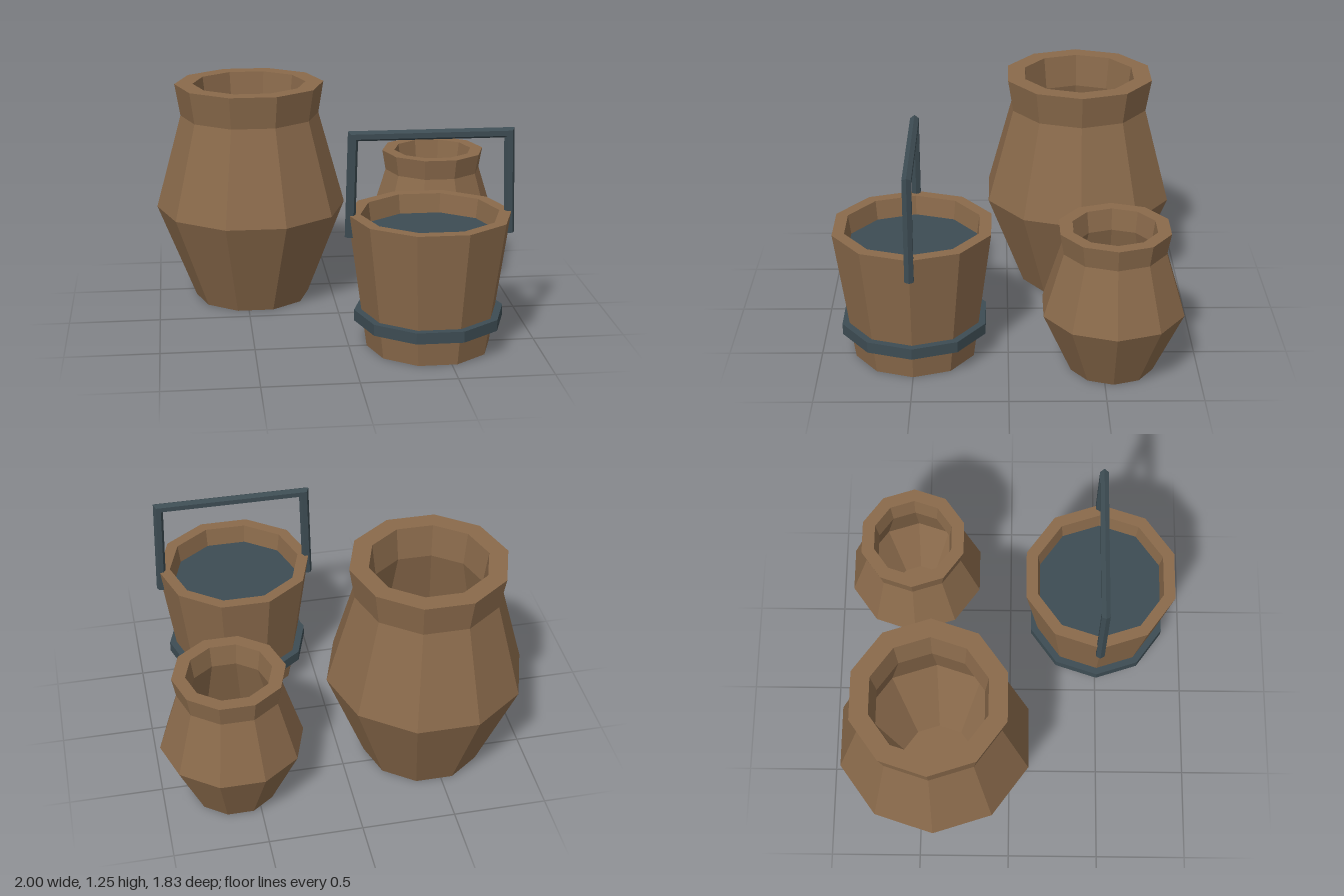
import * as THREE from 'three';

const SIDES = 10;

const wood = new THREE.MeshStandardMaterial({ color: 0x8a6a4b });
wood.name = 'warm brown';
const slate = new THREE.MeshStandardMaterial({ color: 0x3d4c53 });
slate.name = 'dark slate';

// Give every facet its own normal for the low-poly look
function faceted(geometry) {
  const flat = geometry.index ? geometry.toNonIndexed() : geometry;
  flat.computeVertexNormals();
  return flat;
}

// Ten-sided turned solid with a corner on the x axis; profile runs outside first
function turned(name, profile, material) {
  const points = profile.map(([r, y]) => new THREE.Vector2(r, y));
  const mesh = new THREE.Mesh(
    faceted(new THREE.LatheGeometry(points, SIDES, Math.PI / 2)), material);
  mesh.name = name;
  return mesh;
}

// Six-sided rod swept along points in the xy plane with mitred corners and closed ends
function rod(name, path, radius, material) {
  const n = 6, pos = [], index = [];
  const pts = path.map(([x, y]) => new THREE.Vector2(x, y));
  const normalOf = (a, b) => {
    const d = b.clone().sub(a).normalize();
    return new THREE.Vector2(-d.y, d.x);
  };
  pts.forEach((p, i) => {
    const before = normalOf(pts[Math.max(i - 1, 0)], pts[Math.max(i, 1)]);
    const last = pts.length - 1;
    const after = normalOf(pts[Math.min(i, last - 1)], pts[Math.min(i + 1, last)]);
    const miter = before.clone().add(after).normalize();
    miter.divideScalar(miter.dot(before));
    for (let k = 0; k < n; k++) {
      const t = (k / n) * Math.PI * 2;
      const out = radius * Math.cos(t);
      pos.push(p.x + miter.x * out, p.y + miter.y * out, radius * Math.sin(t));
    }
  });
  for (let i = 0; i < pts.length - 1; i++) {
    for (let k = 0; k < n; k++) {
      const a = i * n + k, b = i * n + (k + 1) % n;
      index.push(a, b, a + n, b, b + n, a + n);
    }
  }
  const end = (pts.length - 1) * n;
  for (let k = 1; k < n - 1; k++) {
    index.push(0, k + 1, k, end, end + k, end + k + 1);
  }
  const geometry = new THREE.BufferGeometry();
  geometry.setAttribute('position', new THREE.Float32BufferAttribute(pos, 3));
  geometry.setIndex(index);
  const mesh = new THREE.Mesh(faceted(geometry), material);
  mesh.name = name;
  return mesh;
}

export function createModel() {
  const model = new THREE.Group();
  model.name = 'potsAndBucket';

  // Large hollow pot
  const largePot = turned('largePot', [
    [0, 0], [0.325, 0], [0.537, 0.54], [0.39, 1.07], [0.42, 1.25],
    [0.318, 1.25], [0.295, 1.07], [0.42, 0.54], [0.213, 0.07], [0, 0.07],
  ], wood);
  largePot.position.set(-0.463, 0, -0.405);

  // Small hollow pot
  const smallPot = turned('smallPot', [
    [0, 0], [0.227, 0], [0.383, 0.345], [0.277, 0.685], [0.297, 0.8],
    [0.225, 0.8], [0.208, 0.685], [0.3, 0.345], [0.152, 0.05], [0, 0.05],
  ], wood);
  smallPot.position.set(0.613, 0, -0.545);

  // Bucket with staves, hoop, water and handle
  const bucket = new THREE.Group();
  bucket.name = 'bucket';
  bucket.position.set(0.426, 0, 0.5);
  bucket.add(
    turned('bucketBody', [
      [0, 0], [0.331, 0], [0.433, 0.73], [0.367, 0.73], [0.34, 0.54], [0, 0.54],
    ], wood),
    turned('hoop', [
      [0.34, 0.145], [0.399, 0.145], [0.399, 0.205], [0.34, 0.205], [0.34, 0.145],
    ], slate),
    turned('water', [[0.352, 0.625], [0, 0.625]], slate),
    rod('handle', [
      [-0.422, 0.61], [-0.407, 1.149], [0.407, 1.149], [0.422, 0.61],
    ], 0.027, slate),
  );

  model.add(largePot, smallPot, bucket);
  return model;
}
